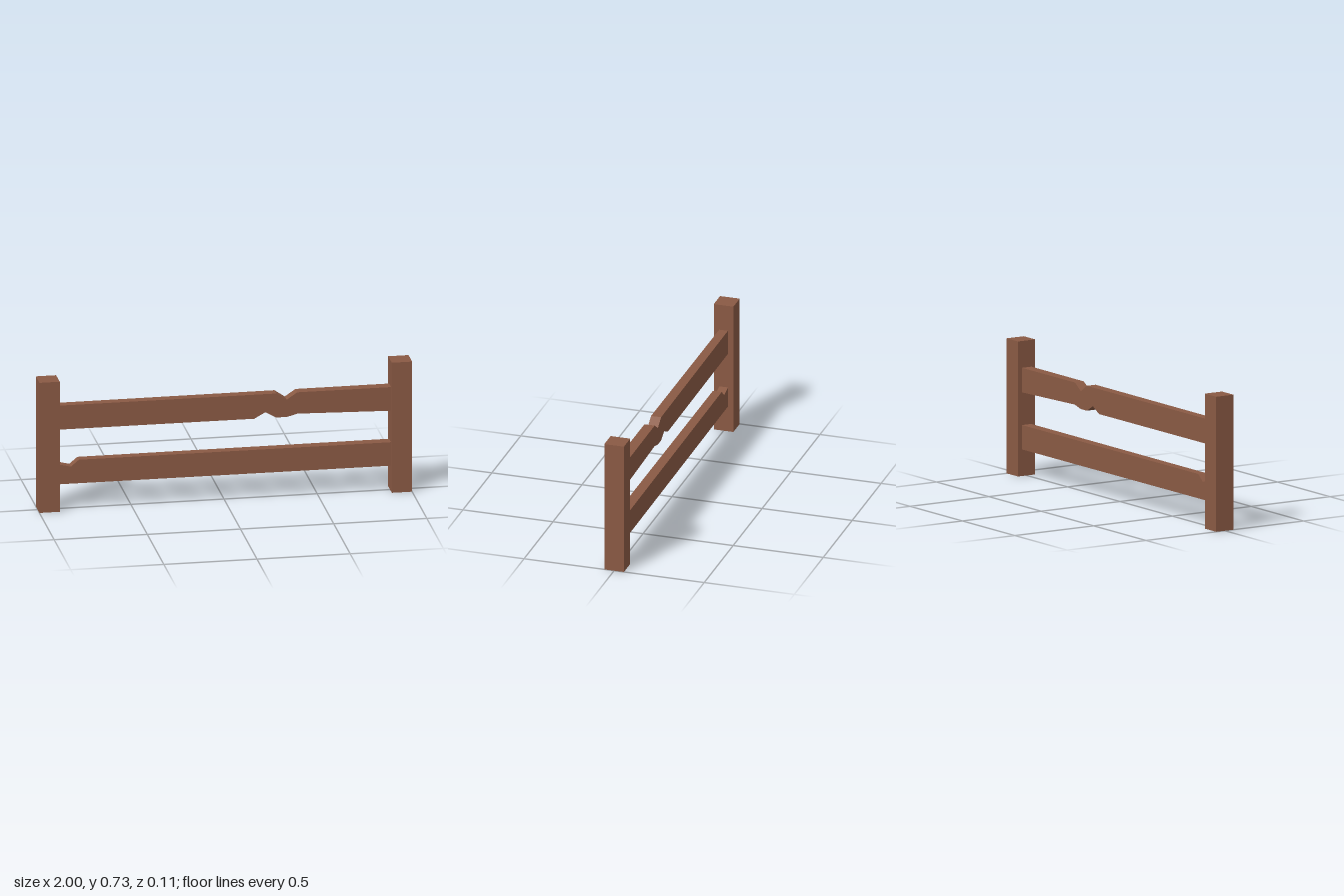
import * as THREE from 'three';

const POST_W = 0.109, POST_H = 0.726, RAIL_END = 0.892;

export function createModel() {
  const wood = new THREE.MeshStandardMaterial({ color: 0x8a5a44 });
  wood.name = 'brown wood';
  const model = new THREE.Group();
  model.name = 'fence';

  // Square posts at both ends
  for (const side of [-1, 1]) {
    const post = new THREE.Mesh(new THREE.BoxGeometry(POST_W, POST_H, POST_W), wood);
    post.name = side > 0 ? 'leftPost' : 'rightPost';
    post.position.set(side * (1 - POST_W / 2), POST_H / 2, 0);
    model.add(post);
  }

  // Board cut from an outline, slightly thicker towards +x
  function addRail(name, points, thinHalf, thickHalf) {
    const shape = new THREE.Shape(points.map(([x, y]) => new THREE.Vector2(x, y)));
    const geometry = new THREE.ExtrudeGeometry(shape, { depth: 2, bevelEnabled: false });
    geometry.translate(0, 0, -1);
    const p = geometry.attributes.position;
    for (let i = 0; i < p.count; i++) {
      const t = (p.getX(i) + RAIL_END) / (2 * RAIL_END);
      p.setZ(i, p.getZ(i) * THREE.MathUtils.lerp(thinHalf, thickHalf, t));
    }
    geometry.computeVertexNormals();
    const rail = new THREE.Mesh(geometry, wood);
    rail.name = name;
    model.add(rail);
  }

  // Upper rail with chipped notches above and below
  addRail('upperRail', [
    [-RAIL_END, 0.448], [0.158, 0.448], [0.217, 0.481], [0.275, 0.448],
    [0.334, 0.448], [0.388, 0.463], [RAIL_END, 0.45],
    [RAIL_END, 0.582], [0.388, 0.582], [0.331, 0.544], [0.275, 0.582],
    [-RAIL_END, 0.582],
  ], 0.024, 0.03);

  // Lower rail with a broken corner
  addRail('lowerRail', [
    [-RAIL_END, 0.143], [RAIL_END, 0.143], [RAIL_END, 0.274],
    [-0.783, 0.274], [-0.826, 0.238], [-RAIL_END, 0.254],
  ], 0.024, 0.029);

  return model;
}
